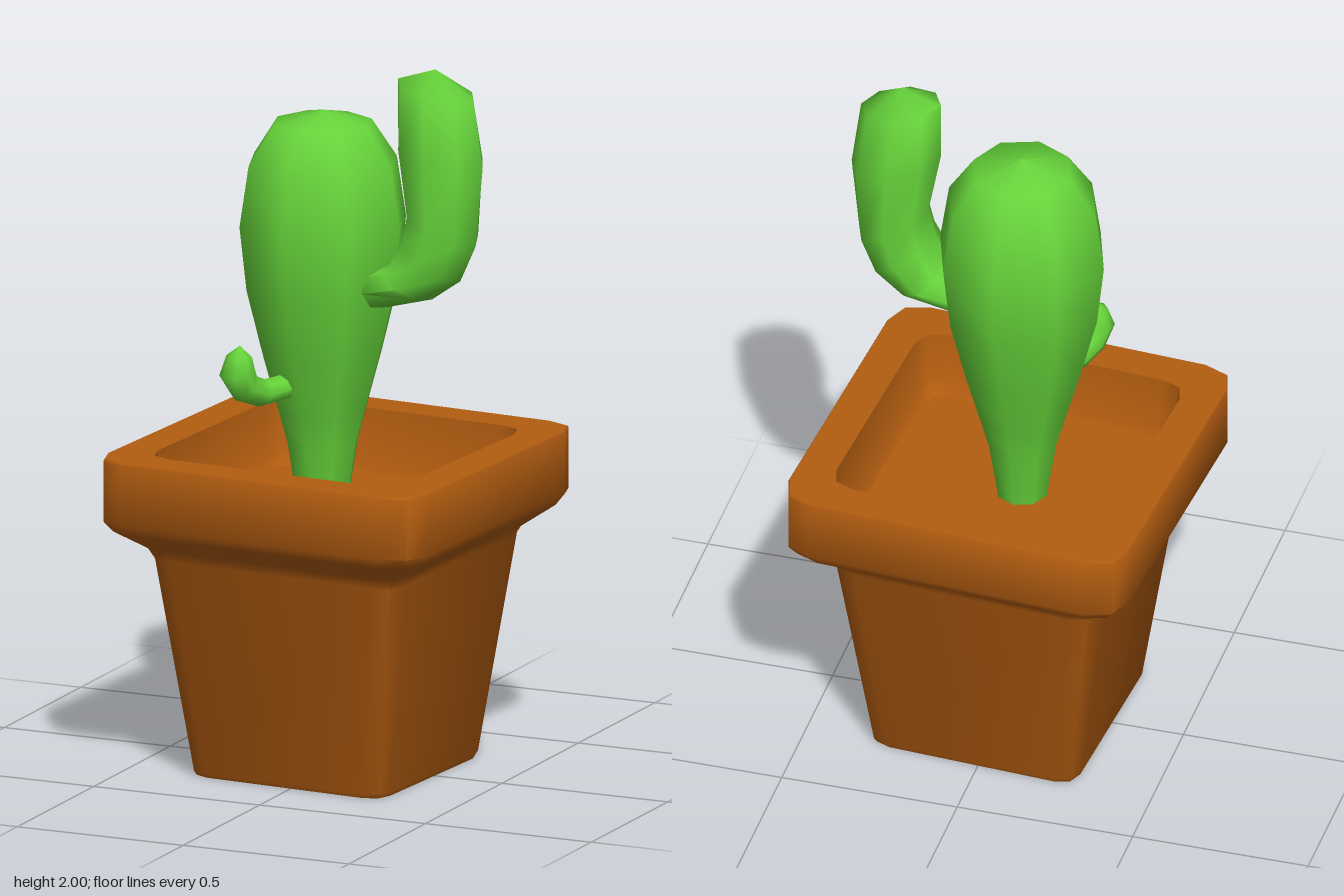
import * as THREE from 'three';
import { toCreasedNormals } from 'three/addons/utils/BufferGeometryUtils.js';

const clay = new THREE.MeshStandardMaterial({ color: 0xb35d10 });
clay.name = 'terracotta';
const green = new THREE.MeshStandardMaterial({ color: 0x66d33a });
green.name = 'cactusGreen';

// Skin a closed surface over matching rings; a ring may collapse to a point
function loft(rings, crease) {
  const pos = [];
  const n = rings[0].length;
  const tri = (a, b, c) => {
    if (new THREE.Triangle(a, b, c).getArea() > 1e-9) {
      for (const p of [a, b, c]) pos.push(p.x, p.y, p.z);
    }
  };
  for (let i = 0; i < rings.length - 1; i++) {
    for (let j = 0; j < n; j++) {
      const k = (j + 1) % n;
      tri(rings[i][j], rings[i][k], rings[i + 1][k]);
      tri(rings[i][j], rings[i + 1][k], rings[i + 1][j]);
    }
  }
  const geo = new THREE.BufferGeometry();
  geo.setAttribute('position', new THREE.Float32BufferAttribute(pos, 3));
  return toCreasedNormals(geo, crease);
}

// Square ring with each corner rounded by three points
function squareRing(half, y) {
  const ring = [];
  for (let q = 0; q < 4; q++) {
    for (const [u, v] of [[1, 0.81], [0.95, 0.95], [0.81, 1]]) {
      const p = new THREE.Vector3(u * half, y, -v * half);
      ring.push(p.applyAxisAngle(new THREE.Vector3(0, 1, 0), q * Math.PI / 2));
    }
  }
  return ring;
}

// Arm from sections [outerX, outerY, innerX, innerY, halfDepth]
function armGeometry(sections, sides = 8) {
  const rings = sections.map(([ox, oy, ix, iy, w]) => {
    const ring = [];
    for (let j = 0; j < sides; j++) {
      const a = (j / sides) * Math.PI * 2;
      const c = Math.cos(a) / 2;
      ring.push(new THREE.Vector3(
        (ox + ix) / 2 + (ox - ix) * c,
        (oy + iy) / 2 + (oy - iy) * c,
        -w * Math.sin(a)));
    }
    return ring;
  });
  return loft(rings, 1.3);
}

export function createModel() {
  const model = new THREE.Group();
  model.name = 'pottedCactus';
  const add = (name, geo, mat) => {
    const mesh = new THREE.Mesh(geo, mat);
    mesh.name = name;
    model.add(mesh);
    return mesh;
  };
  const turn = -0.0624;

  // Square pot: underside, tapered wall, flared rim, inner wall and floor
  const potProfile = [
    [0, 0], [0.296, 0], [0.302, 0.012], [0.385, 0.62], [0.4, 0.65], [0.475, 0.705],
    [0.495, 0.735], [0.495, 0.905], [0.492, 0.91],
    [0.386, 0.91], [0.372, 0.76], [0.355, 0.73], [0, 0.73],
  ];
  const pot = add('pot', loft(potProfile.map(([h, y]) => squareRing(h, y)), 0.9), clay);
  pot.rotation.y = turn;

  // Eight-sided main stem
  const stemProfile = [
    [0.07, 0.72], [0.1, 0.91], [0.125, 1.0], [0.17, 1.16], [0.218, 1.35],
    [0.238, 1.53], [0.212, 1.7], [0.14, 1.81], [0, 1.845],
  ].map(([r, y]) => new THREE.Vector2(r, y));
  const stem = add('stem', new THREE.LatheGeometry(stemProfile, 8), green);
  stem.position.x = -0.04;
  stem.rotation.y = turn;

  // Large arm curving up on the left
  const largeArm = add('largeArm', armGeometry([
    [0.12, 1.37, 0.12, 1.37, 0],
    [0.15, 1.31, 0.12, 1.43, 0.1],
    [0.3, 1.35, 0.175, 1.44, 0.115],
    [0.385, 1.41, 0.215, 1.53, 0.115],
    [0.43, 1.51, 0.232, 1.61, 0.115],
    [0.452, 1.73, 0.198, 1.79, 0.115],
    [0.425, 1.925, 0.197, 1.963, 0.088],
    [0.31, 2.0, 0.31, 2.0, 0],
  ]), green);
  largeArm.position.z = 0.022;

  // Small sprout at the front right
  const smallArm = add('smallArm', armGeometry([
    [0.11, 1.08, 0.11, 1.08, 0],
    [0.12, 1.05, 0.11, 1.12, 0.04],
    [0.22, 1.04, 0.2, 1.115, 0.043],
    [0.3, 1.07, 0.235, 1.13, 0.045],
    [0.345, 1.135, 0.242, 1.155, 0.048],
    [0.322, 1.195, 0.252, 1.19, 0.036],
    [0.285, 1.222, 0.285, 1.222, 0],
  ]), green);
  smallArm.position.x = -0.04;
  smallArm.rotation.y = -2.06;

  return model;
}
